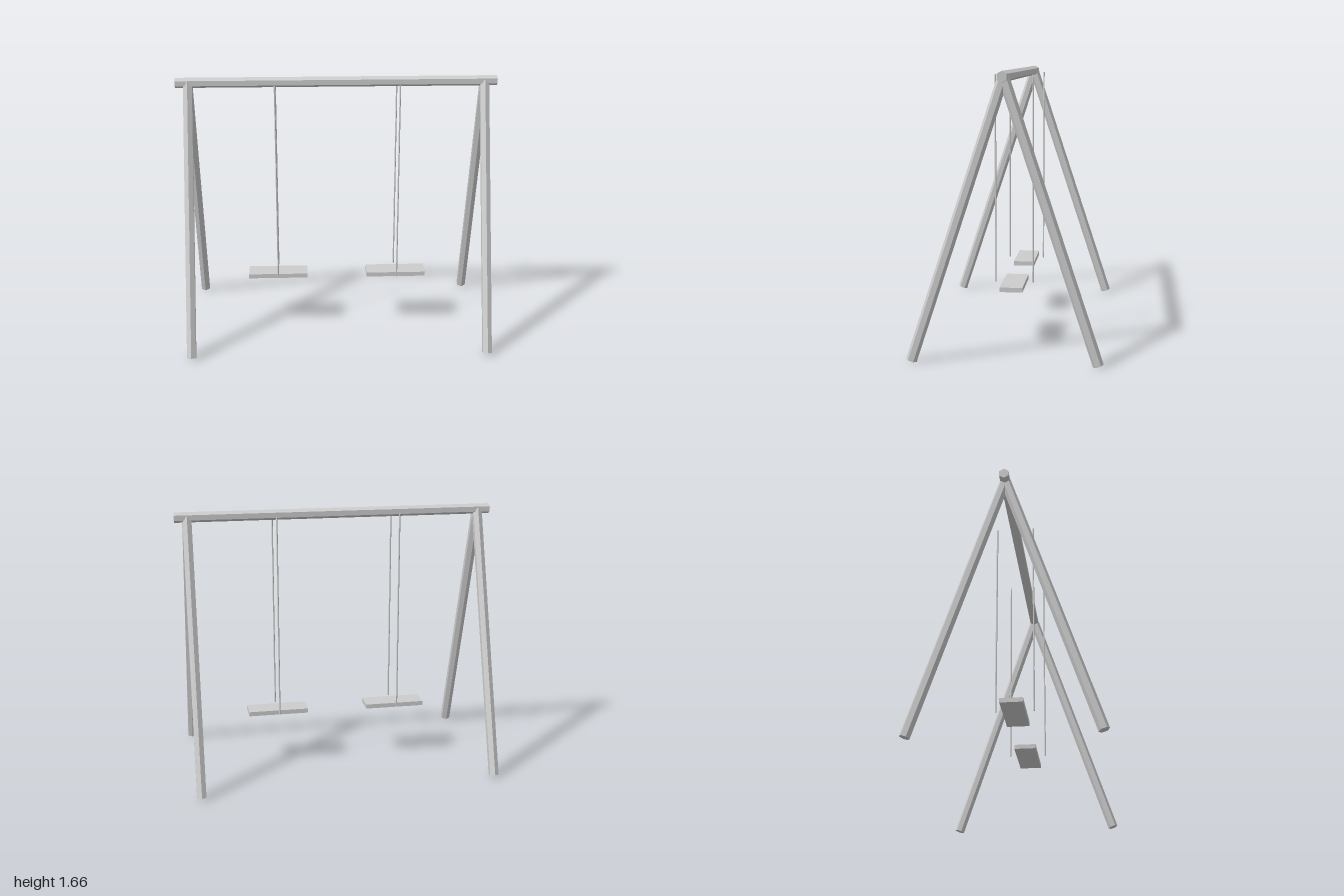
import * as THREE from 'three';

const BEAM_Y = 1.628, R = 0.032;

export function createModel() {
  const model = new THREE.Group();
  model.name = 'swingSet';
  const grey = new THREE.MeshStandardMaterial({ color: 0xcccccc, flatShading: true });
  grey.name = 'light grey';

  function add(parent, name, geometry, x, y, z) {
    const mesh = new THREE.Mesh(geometry, grey);
    mesh.name = name;
    mesh.position.set(x, y, z);
    parent.add(mesh);
    return mesh;
  }

  // Hexagonal top beam with a ridge pointing up
  const beam = new THREE.CylinderGeometry(R, R, 2, 6, 1, false, Math.PI / 6);
  beam.rotateZ(Math.PI / 2);
  add(model, 'topBeam', beam, 0, BEAM_Y, 0);

  // Four splayed hexagonal legs, meeting at the beam's centre
  const footZ = 0.535, footY = 0.01;
  const rise = BEAM_Y - footY;
  const leg = new THREE.CylinderGeometry(R, R, Math.hypot(rise, footZ), 6);
  for (const sx of [-1, 1]) {
    for (const sz of [-1, 1]) {
      const mesh = add(model, 'leg', leg, sx * 0.922, footY + rise / 2, sz * footZ / 2);
      mesh.rotation.x = -sz * Math.atan2(footZ, rise);
    }
  }

  // Two swings, each a plank seat with a rope in front and behind
  const seat = new THREE.BoxGeometry(0.383, 0.028, 0.138);
  const rope = new THREE.CylinderGeometry(0.005, 0.005, 1.27, 6);
  for (const sx of [-1, 1]) {
    const swing = new THREE.Group();
    swing.name = sx > 0 ? 'leftSwing' : 'rightSwing';
    swing.position.x = sx * 0.385;
    add(swing, 'seat', seat, 0, 0.352, 0);
    for (const sz of [-1, 1]) add(swing, 'rope', rope, 0, 0.993, sz * 0.115);
    model.add(swing);
  }
  return model;
}
